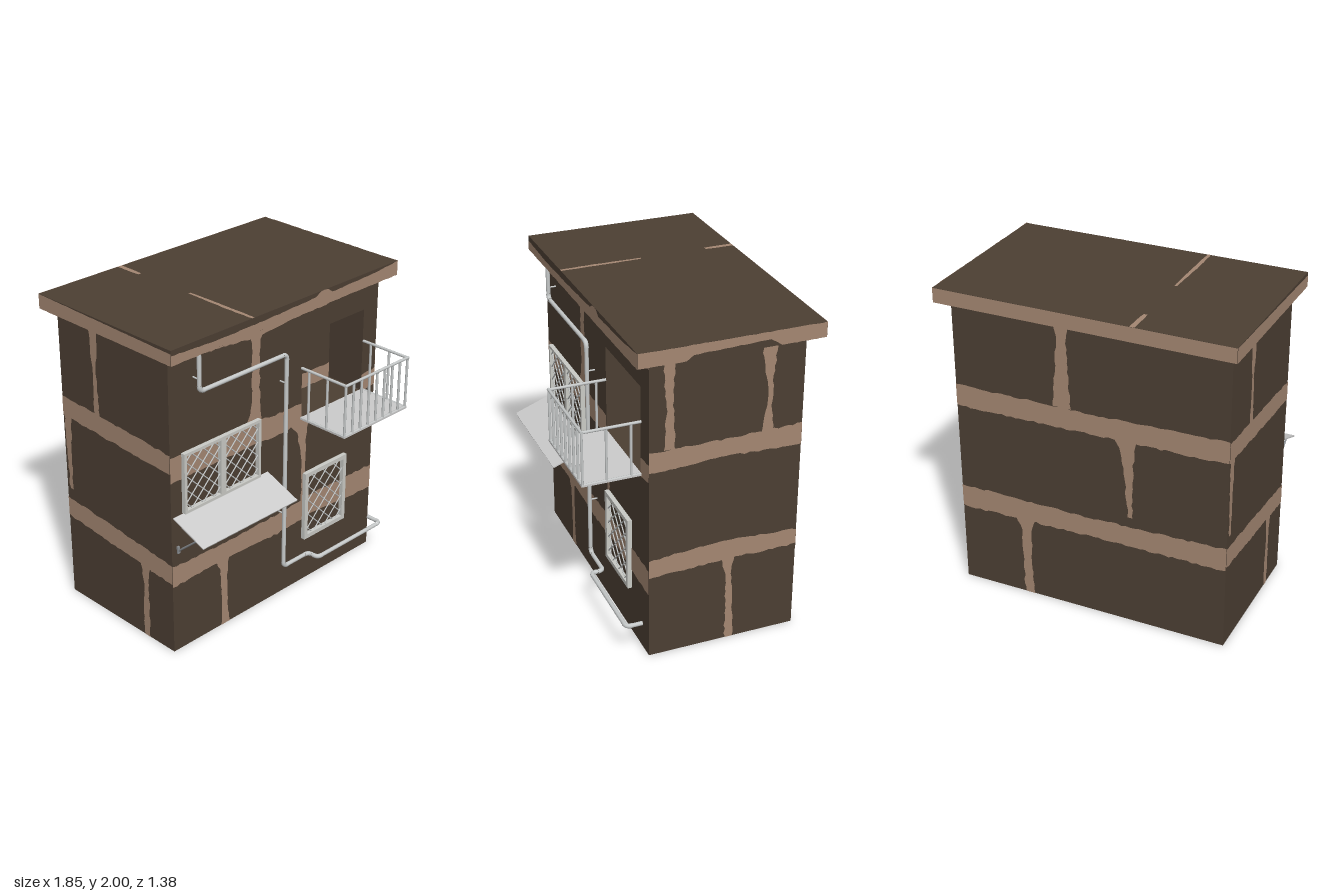
import * as THREE from 'three';

const mat = (name, color, side = THREE.FrontSide) => {
  const m = new THREE.MeshStandardMaterial({ color, side });
  m.name = name;
  return m;
};

export function createModel() {
  const brick = mat('darkBrick', 0x4c3f33);
  const mortar = mat('mortar', 0xa48772, THREE.DoubleSide);
  const metal = mat('paleMetal', 0xc6c9c9);
  const frameMat = mat('windowFrame', 0xcacbc6);
  const panel = mat('palePanel', 0xcccccc);
  const strutMat = mat('greyStrut', 0x8a8e92);
  const model = new THREE.Group();
  model.name = 'house';

  const add = (parent, name, geo, m, x = 0, y = 0, z = 0) => {
    const mesh = new THREE.Mesh(geo, m);
    mesh.name = name;
    mesh.position.set(x, y, z);
    parent.add(mesh);
    return mesh;
  };
  // Box given by its extents
  const box = (parent, name, m, x0, x1, y0, y1, z0, z1) =>
    add(parent, name, new THREE.BoxGeometry(x1 - x0, y1 - y0, z1 - z0), m, (x0 + x1) / 2, (y0 + y1) / 2, (z0 + z1) / 2);
  // Straight round bar between two points
  const bar = (parent, name, m, a, b, r, sides = 8) => {
    const p = new THREE.Vector3(...a), d = new THREE.Vector3(...b).sub(p);
    const mesh = add(parent, name, new THREE.CylinderGeometry(r, r, d.length(), sides), m);
    mesh.position.copy(p).addScaledVector(d, 0.5);
    mesh.quaternion.setFromUnitVectors(new THREE.Vector3(0, 1, 0), d.normalize());
    return mesh;
  };
  let seed = 7;
  const noise = () => ((seed = (seed * 16807) % 2147483647) / 2147483647 - 0.5);

  // Ragged mortar strip: rows are [along, low edge, high edge]
  const strip = (parent, rows, vertical = false, rough = 0.012) => {
    const low = [], high = [];
    rows.slice(1).forEach((b, i) => {
      const a = rows[i], n = Math.max(1, Math.round(Math.abs(b[0] - a[0]) / 0.03));
      for (let k = i ? 1 : 0; k <= n; k++) {
        const [t, l, h] = a.map((v, j) => v + (b[j] - v) * k / n);
        const p = l + noise() * rough, q = h + noise() * rough;
        low.push(vertical ? new THREE.Vector2(p, t) : new THREE.Vector2(t, p));
        high.push(vertical ? new THREE.Vector2(q, t) : new THREE.Vector2(t, q));
      }
    });
    add(parent, 'mortarStrip', new THREE.ShapeGeometry(new THREE.Shape([...low, ...high.reverse()])), mortar);
  };
  const face = (name, x, y, z, ry, rx = 0) => {
    const g = new THREE.Group();
    g.name = name;
    g.position.set(x, y, z);
    g.rotation.set(rx, ry, 0);
    model.add(g);
    return g;
  };

  // Walls with the balcony recess
  const wall = new THREE.Shape([[-0.87, 0], [0.865, 0], [0.865, 1.91], [-0.87, 1.91]].map(p => new THREE.Vector2(...p)));
  wall.holes.push(new THREE.Path([[0.195, 1.17], [0.195, 1.71], [0.74, 1.71], [0.74, 1.17]].map(p => new THREE.Vector2(...p))));
  add(model, 'frontWall', new THREE.ExtrudeGeometry(wall, { depth: 0.27, bevelEnabled: false }), brick, 0, 0, 0.06);
  box(model, 'houseBody', brick, -0.87, 0.865, 0, 1.91, -0.6, 0.06);
  box(model, 'roofSlab', brick, -0.925, 0.925, 1.91, 2, -0.69, 0.42);

  // Front mortar
  const front = face('frontMortar', 0, 0, 0.332, 0);
  strip(front, [[-0.87, 1.87, 1.91], [-0.4, 1.84, 1.91], [-0.2, 1.82, 1.91], [0.1, 1.84, 1.91], [0.45, 1.85, 1.91], [0.865, 1.87, 1.91]], false, 0.008);
  strip(front, [[1.84, -0.25, -0.14], [1.8, -0.225, -0.165], [1.5, -0.23, -0.165], [1.38, -0.235, -0.16], [1.28, -0.27, -0.145]], true);
  strip(front, [[-0.87, 1.14, 1.3], [-0.3, 1.14, 1.3], [0, 1.13, 1.27], [0.195, 1.14, 1.27]]);
  strip(front, [[0.195, 1.14, 1.17], [0.74, 1.16, 1.17]], false, 0);
  strip(front, [[0.74, 1.15, 1.27], [0.865, 1.17, 1.28]]);
  strip(front, [[1.15, 0.1, 0.26], [1.08, 0.16, 0.245], [0.9, 0.2, 0.24], [0.58, 0.21, 0.245]], true);
  strip(front, [[-0.87, 0.45, 0.59], [-0.5, 0.46, 0.575], [0, 0.44, 0.58], [0.3, 0.46, 0.6], [0.865, 0.42, 0.59]]);
  strip(front, [[0.47, -0.52, -0.41], [0.4, -0.49, -0.43], [0.2, -0.48, -0.435], [0, -0.485, -0.415]], true);
  strip(face('recessMortar', 0, 0, 0.062, 0), [[0.195, 1.17, 1.27], [0.74, 1.17, 1.27]], false, 0.01);

  // Right side mortar (local x = -z)
  const right = face('rightMortar', 0.867, 0, 0, Math.PI / 2);
  strip(right, [[-0.33, 1.23, 1.36], [0.1, 1.25, 1.36], [0.6, 1.23, 1.37]]);
  strip(right, [[-0.33, 0.54, 0.66], [0.1, 0.56, 0.69], [0.6, 0.56, 0.665]]);
  strip(right, [[1.91, -0.25, -0.18], [1.6, -0.23, -0.19], [1.36, -0.24, -0.175]], true);
  strip(right, [[1.91, 0.33, 0.43], [1.7, 0.365, 0.41], [1.55, 0.38, 0.405], [1.36, 0.35, 0.42]], true);
  strip(right, [[0.57, 0.12, 0.2], [0.45, 0.15, 0.185], [0, 0.155, 0.21]], true);

  // Back mortar (local x = -x)
  const back = face('backMortar', 0, 0, -0.602, Math.PI);
  strip(back, [[-0.865, 1.22, 1.36], [0.1, 1.23, 1.36], [0.87, 1.24, 1.38]]);
  strip(back, [[-0.865, 0.52, 0.67], [0, 0.53, 0.66], [0.87, 0.53, 0.68]]);
  strip(back, [[1.91, -0.22, -0.11], [1.8, -0.19, -0.13], [1.36, -0.22, -0.11]], true);
  strip(back, [[1.25, 0.16, 0.31], [1.15, 0.21, 0.29], [0.9, 0.24, 0.28], [0.73, 0.25, 0.28]], true);
  strip(back, [[0.54, -0.5, -0.37], [0.45, -0.46, -0.4], [0, -0.45, -0.39]], true);

  // Left side mortar (local x = z)
  const left = face('leftMortar', -0.872, 0, 0, -Math.PI / 2);
  strip(left, [[-0.6, 1.24, 1.37], [0.33, 1.2, 1.32]]);
  strip(left, [[-0.6, 0.55, 0.68], [0.33, 0.47, 0.6]]);
  strip(left, [[1.91, -0.33, -0.25], [1.65, -0.305, -0.275], [1.3, -0.31, -0.26]], true);
  strip(left, [[1.25, -0.59, -0.53], [0.75, -0.575, -0.55]], true);
  strip(left, [[0.55, 0.05, 0.14], [0.4, 0.075, 0.12], [0, 0.07, 0.12]], true);

  // Mortar around the roof edge, on the roof and below the floor
  strip(face('roofFrontMortar', 0, 0, 0.422, 0), [[-0.925, 1.91, 1.97], [-0.6, 1.91, 1.955], [-0.2, 1.91, 1.96], [0.2, 1.91, 1.975],
    [0.24, 1.91, 2], [0.3, 1.91, 2], [0.34, 1.91, 1.97], [0.7, 1.91, 1.98], [0.87, 1.91, 1.995], [0.925, 1.91, 2]], false, 0.004);
  strip(face('roofRightMortar', 0.927, 0, 0, Math.PI / 2), [[-0.42, 1.91, 2], [-0.14, 1.91, 2], [-0.1, 1.94, 2], [0.35, 1.955, 2], [0.42, 1.91, 2], [0.69, 1.91, 2]], false, 0.004);
  strip(face('roofLeftMortar', -0.927, 0, 0, -Math.PI / 2), [[-0.69, 1.91, 2], [0.42, 1.91, 1.98]], false, 0.002);
  strip(face('roofBackMortar', 0, 0, -0.692, Math.PI), [[-0.925, 1.91, 2], [0.925, 1.91, 2]], false, 0);
  const top = face('roofTopMortar', 0, 2.001, 0, 0, -Math.PI / 2);
  strip(top, [[0.69, -0.335, -0.3], [0.51, -0.33, -0.305]], true, 0.004);
  strip(top, [[0.09, -0.32, -0.305], [-0.2, -0.325, -0.298], [-0.42, -0.32, -0.3]], true, 0.004);
  const under = face('floorMortar', 0, -0.001, 0, 0, Math.PI / 2);
  strip(under, [[-0.6, -0.51, -0.49], [-0.2, -0.51, -0.49]], true, 0.004);
  strip(under, [[-0.1, -0.51, -0.49], [0.33, -0.515, -0.485]], true, 0.004);

  // Windows with a diagonal lattice
  const lattice = (g, x0, x1, y0, y1, step) => {
    const w = x1 - x0, h = y1 - y0;
    for (let c = step / 2; c < w + h; c += step) {
      const a = Math.max(0, c - h), b = Math.min(w, c);
      if (b - a < 0.01) continue;
      bar(g, 'latticeBar', metal, [x0 + a, y0 + c - a, 0.343], [x0 + b, y0 + c - b, 0.343], 0.004, 6);
      bar(g, 'latticeBar', metal, [x1 - a, y0 + c - a, 0.347], [x1 - b, y0 + c - b, 0.347], 0.004, 6);
    }
  };
  const windowUnit = (name, x0, x1, y0, y1, t, step, mullion) => {
    const g = face(name, 0, 0, 0, 0);
    box(g, 'frameBottom', frameMat, x0, x1, y0, y0 + t, 0.33, 0.358);
    box(g, 'frameTop', frameMat, x0, x1, y1 - t, y1, 0.33, 0.358);
    box(g, 'frameSide', frameMat, x0, x0 + t, y0 + t, y1 - t, 0.33, 0.358);
    box(g, 'frameSide', frameMat, x1 - t, x1, y0 + t, y1 - t, 0.33, 0.358);
    const c = (x0 + x1) / 2, m = mullion / 2;
    if (mullion) {
      box(g, 'mullion', frameMat, c - m, c + m, y0 + t, y1 - t, 0.33, 0.358);
      lattice(g, x0 + t, c - m, y0 + t, y1 - t, step);
      lattice(g, c + m, x1 - t, y0 + t, y1 - t, step);
    } else lattice(g, x0 + t, x1 - t, y0 + t, y1 - t, step);
  };
  windowUnit('doubleWindow', -0.785, -0.175, 0.92, 1.305, 0.018, 0.088, 0.04);
  windowUnit('lowerWindow', 0.22, 0.597, 0.31, 0.78, 0.028, 0.1, 0);

  // Sloping canopy on struts
  const canopy = face('canopy', 0, 0, 0, 0);
  const sheet = add(canopy, 'canopySheet', new THREE.BoxGeometry(0.765, 0.008, 0.263), panel, -0.4725, 0.863, 0.4525);
  sheet.rotation.x = Math.atan2(0.095, 0.245);
  for (const x of [-0.825, -0.665, -0.505, -0.44, -0.28, -0.125]) {
    bar(canopy, 'canopyStrut', strutMat, [x, 0.835, 0.51], [x, 0.69, 0.34], 0.006);
    box(canopy, 'strutFoot', strutMat, x - 0.008, x + 0.008, 0.67, 0.715, 0.33, 0.342);
  }

  // Balcony floor and railing
  const balcony = face('balcony', 0, 0, 0, 0);
  box(balcony, 'balconyFloor', panel, 0.185, 0.757, 1.163, 1.175, 0.33, 0.685);
  const x0 = 0.193, x1 = 0.748, zf = 0.677;
  for (const [y, r] of [[1.5, 0.009], [1.172, 0.008]]) {
    bar(balcony, 'frontRail', metal, [x0 - 0.008, y, zf], [x1 + 0.008, y, zf], r);
    for (const x of [x0, x1]) bar(balcony, 'sideRail', metal, [x, y, 0.33], [x, y, zf], r);
  }
  for (let i = 0; i < 9; i++) {
    const x = x0 + (x1 - x0) * i / 8;
    bar(balcony, 'baluster', metal, [x, 1.17, zf], [x, 1.5, zf], 0.008);
  }
  for (const x of [x0, x1]) for (const z of [0.535, 0.39]) bar(balcony, 'baluster', metal, [x, 1.17, z], [x, 1.5, z], 0.008);

  // Drain pipe with rounded bends
  const pts = [[-0.685, 1.91, 0.38], [-0.685, 1.667, 0.38], [0.008, 1.667, 0.38], [0.008, 0.22, 0.38], [0.235, 0.22, 0.38],
    [0.235, 0.22, 0.46], [0.835, 0.22, 0.46], [0.835, 0.22, 0.36]].map(p => new THREE.Vector3(...p));
  const pipe = face('drainPipe', 0, 0, 0, 0);
  let from = pts[0];
  for (let i = 1; i < pts.length; i++) {
    const p = pts[i], next = pts[i + 1], r = 0.035;
    const to = next ? p.clone().addScaledVector(p.clone().sub(pts[i - 1]).normalize(), -r) : p;
    bar(pipe, 'pipeRun', metal, from.toArray(), to.toArray(), 0.013, 12);
    if (!next) break;
    from = p.clone().addScaledVector(next.clone().sub(p).normalize(), r);
    add(pipe, 'pipeBend', new THREE.TubeGeometry(new THREE.QuadraticBezierCurve3(to, p, from), 8, 0.0145, 12), metal);
  }
  for (const [x, y] of [[-0.685, 1.74], [0.008, 1.48], [0.008, 0.6]]) bar(pipe, 'pipeBracket', metal, [x, y, 0.33], [x, y, 0.38], 0.005);

  return model;
}
